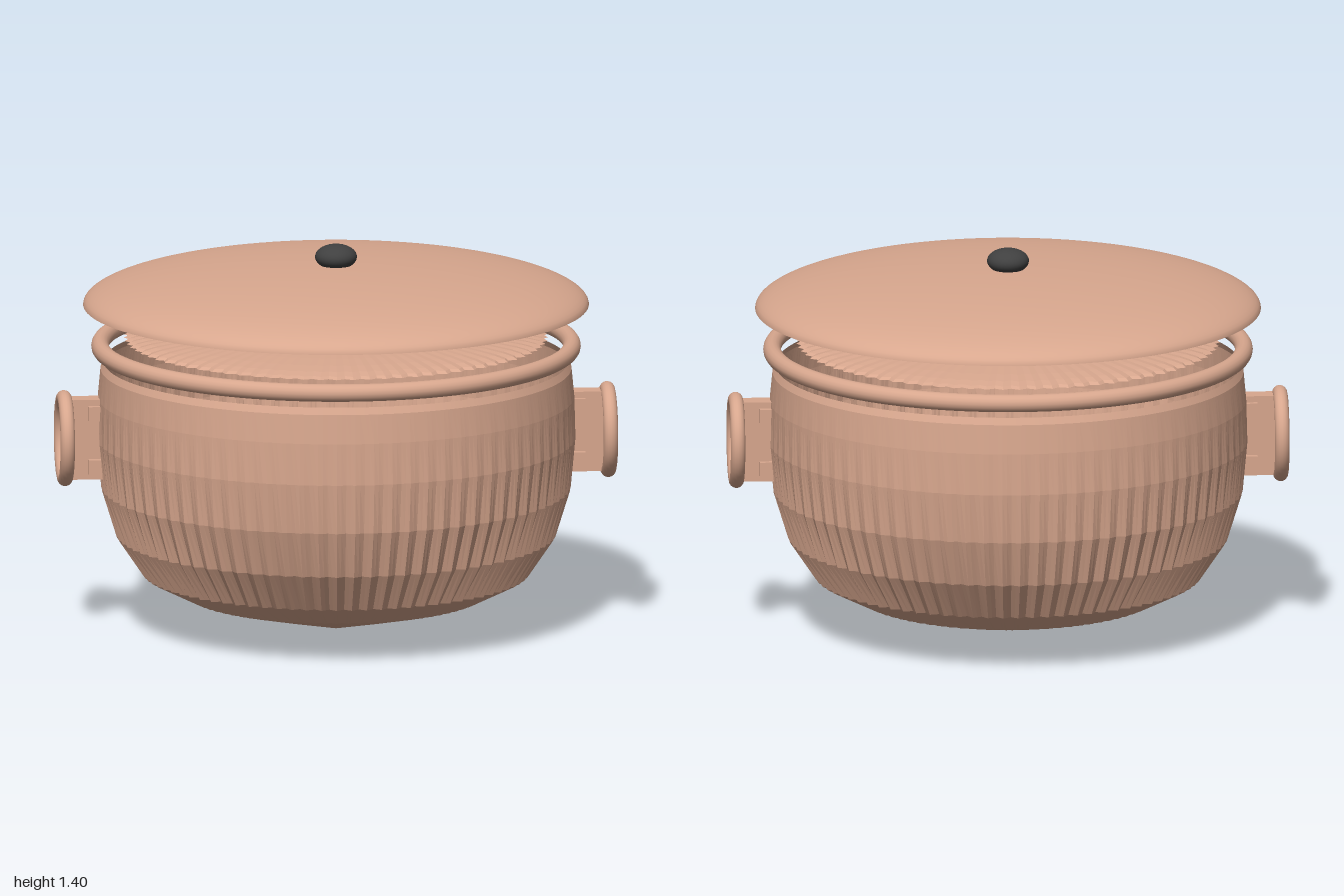
import * as THREE from 'three';

const copper = new THREE.MeshStandardMaterial({ color: 0xd8a78e, side: THREE.DoubleSide });
const copperFlat = new THREE.MeshStandardMaterial({ color: 0xd8a78e, side: THREE.DoubleSide, flatShading: true });
const dark = new THREE.MeshStandardMaterial({ color: 0x404040 });

const FLUTES = 80;

function add(parent, name, geometry, material, x = 0, y = 0, z = 0) {
  const mesh = new THREE.Mesh(geometry, material);
  mesh.name = name;
  mesh.position.set(x, y, z);
  parent.add(mesh);
  return mesh;
}

// Lathe whose radius ripples around the axis; profile rows are [radius, y, ripple depth]
function flutedLathe(profile) {
  const geo = new THREE.LatheGeometry(profile.map(([r, y]) => new THREE.Vector2(r, y)), FLUTES * 4);
  const pos = geo.attributes.position;
  for (let i = 0; i < pos.count; i++) {
    const [r, , depth] = profile[i % profile.length];
    const a = Math.floor(i / profile.length) / (FLUTES * 4) * Math.PI * 2;
    const rr = r + depth * (Math.cos(a * FLUTES) - 1) / 2;
    pos.setX(i, Math.sin(a) * rr);
    pos.setZ(i, Math.cos(a) * rr);
  }
  geo.computeVertexNormals();
  return geo;
}

// Quarter-ellipse dome profile from the rim to the top centre
function domeProfile(radius, base, height, steps) {
  return Array.from({ length: steps + 1 }, (_, i) => {
    const a = (i / steps) * Math.PI / 2;
    return [i === steps ? 0 : radius * Math.cos(a), base + height * Math.sin(a)];
  });
}

// Bracket, two clips and a ring, on the +x side
function makeHandle(name) {
  const handle = new THREE.Group();
  handle.name = name;
  add(handle, 'bracket', new THREE.BoxGeometry(0.13, 0.29, 0.075), copper, 0.89, 0.715, 0);
  for (const y of [0.812, 0.618])
    add(handle, 'clip', new THREE.BoxGeometry(0.06, 0.052, 0.12), copper, 0.86, y, 0);
  add(handle, 'handleRing', new THREE.TorusGeometry(0.146, 0.026, 16, 48), copper, 0.973, 0.715, 0)
    .rotation.y = Math.PI / 2;
  return handle;
}

export function createModel() {
  const model = new THREE.Group();
  model.name = 'pot';

  // Bowl: smooth near the rim, fluted lower down, cone-shaped underneath
  add(model, 'bowl', flutedLathe([
    [0, 0.005, 0], [0.28, 0.07, 0.004], [0.53, 0.13, 0.016], [0.69, 0.21, 0.024],
    [0.785, 0.35, 0.02], [0.838, 0.52, 0.012], [0.855, 0.7, 0.005],
    [0.851, 0.85, 0.001], [0.841, 0.955, 0], [0.83, 0.98, 0],
  ]), copperFlat);

  // Rim ring floating over the bowl
  add(model, 'rimRing', new THREE.TorusGeometry(0.842, 0.032, 16, 128), copper, 0, 1.036, 0)
    .rotation.x = Math.PI / 2;

  // Shallow rippled inner cover
  add(model, 'innerCover', flutedLathe(
    domeProfile(0.757, 1.065, 0.045, 8).map(([r, y]) => [r, y, 0.025 * r])), copperFlat);

  // Lid shell and its knob
  add(model, 'lid', new THREE.LatheGeometry(
    domeProfile(0.903, 1.187, 0.143, 24).map(([r, y]) => new THREE.Vector2(r, y)), 128), copper);
  add(model, 'lidKnob', new THREE.SphereGeometry(1, 32, 20), dark, 0, 1.36, 0)
    .scale.set(0.075, 0.045, 0.075);

  // Mirrored side handles
  const left = makeHandle('leftHandle');
  const right = makeHandle('rightHandle');
  right.rotation.y = Math.PI;
  model.add(left, right);

  return model;
}
